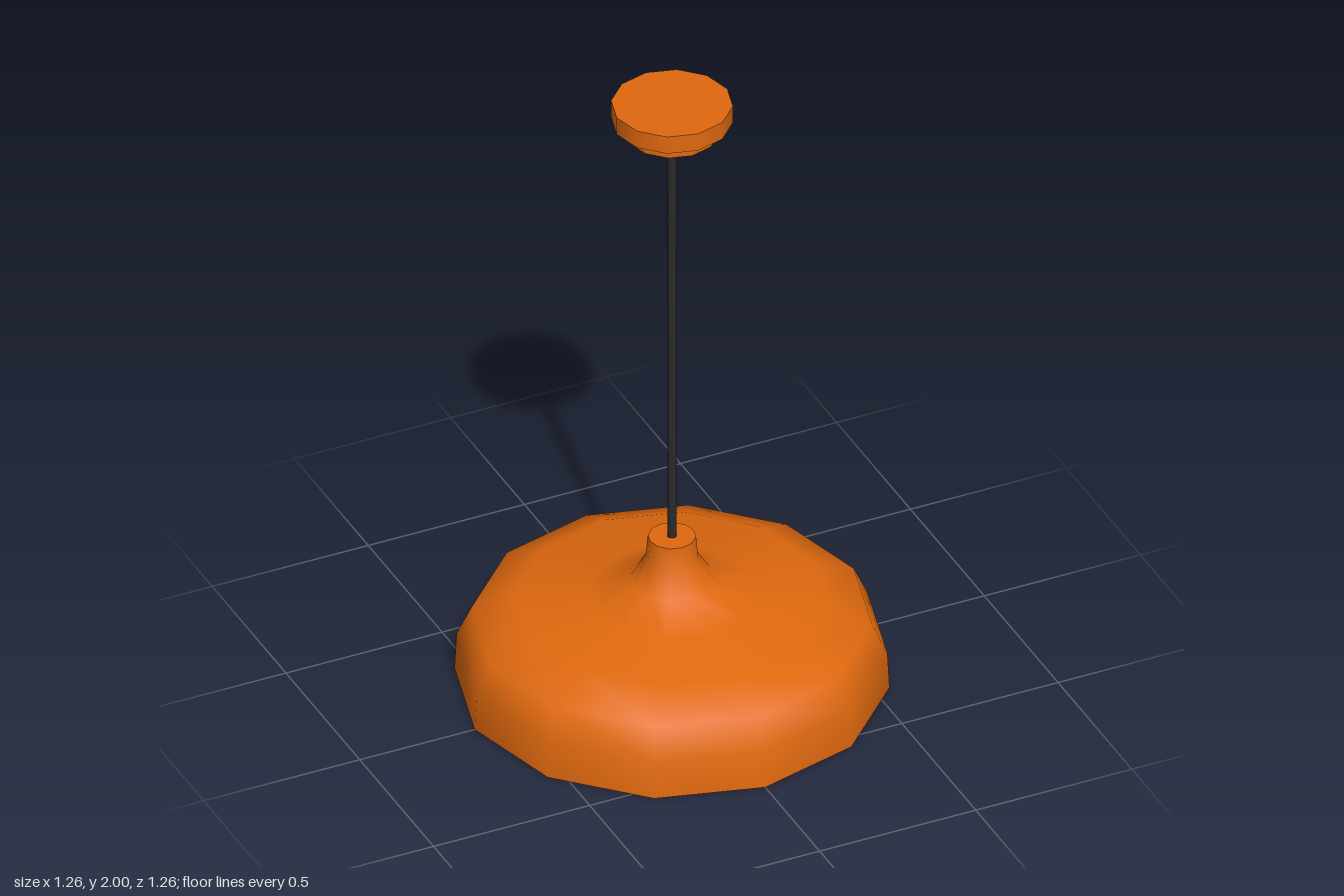
import * as THREE from 'three';

const SIDES = 12;

export function createModel() {
  const lamp = new THREE.Group();
  lamp.name = 'pendantLamp';

  const orange = new THREE.MeshStandardMaterial({ color: 0xe0690f, side: THREE.DoubleSide });
  orange.name = 'orange enamel';
  const black = new THREE.MeshStandardMaterial({ color: 0x2b2b2b });
  black.name = 'black cord';

  const add = (name, geometry, material, y = 0) => {
    const mesh = new THREE.Mesh(geometry, material);
    mesh.name = name;
    mesh.position.y = y;
    lamp.add(mesh);
    return mesh;
  };
  // Upright cylinder between two heights
  const post = (radius, bottom, top, sides = SIDES) =>
    new THREE.CylinderGeometry(radius, radius, top - bottom, sides).translate(0, (bottom + top) / 2, 0);

  // Open, thin shade flaring from the neck to the rim
  const profile = [
    [0.632, 0], [0.626, 0.12], [0.582, 0.215], [0.455, 0.275],
    [0.25, 0.297], [0.122, 0.35], [0.076, 0.425], [0.07, 0.495],
  ].map(([r, y]) => new THREE.Vector2(r, y));
  add('shade', new THREE.LatheGeometry(profile, SIDES), orange);

  // Flat lid closing the neck, corners aligned with the shade
  add('neckCap', new THREE.CircleGeometry(0.07, SIDES).rotateX(-Math.PI / 2), orange, 0.495);

  // Cord
  add('cord', post(0.014, 0.49, 1.905, 8), black);

  // Two-step ceiling mount; the lower step is faceted
  const step = post(0.137, 1.9, 1.945).toNonIndexed();
  step.computeVertexNormals();
  add('ceilingMountStep', step, orange);
  add('ceilingMount', post(0.177, 1.942, 2), orange);

  return lamp;
}
